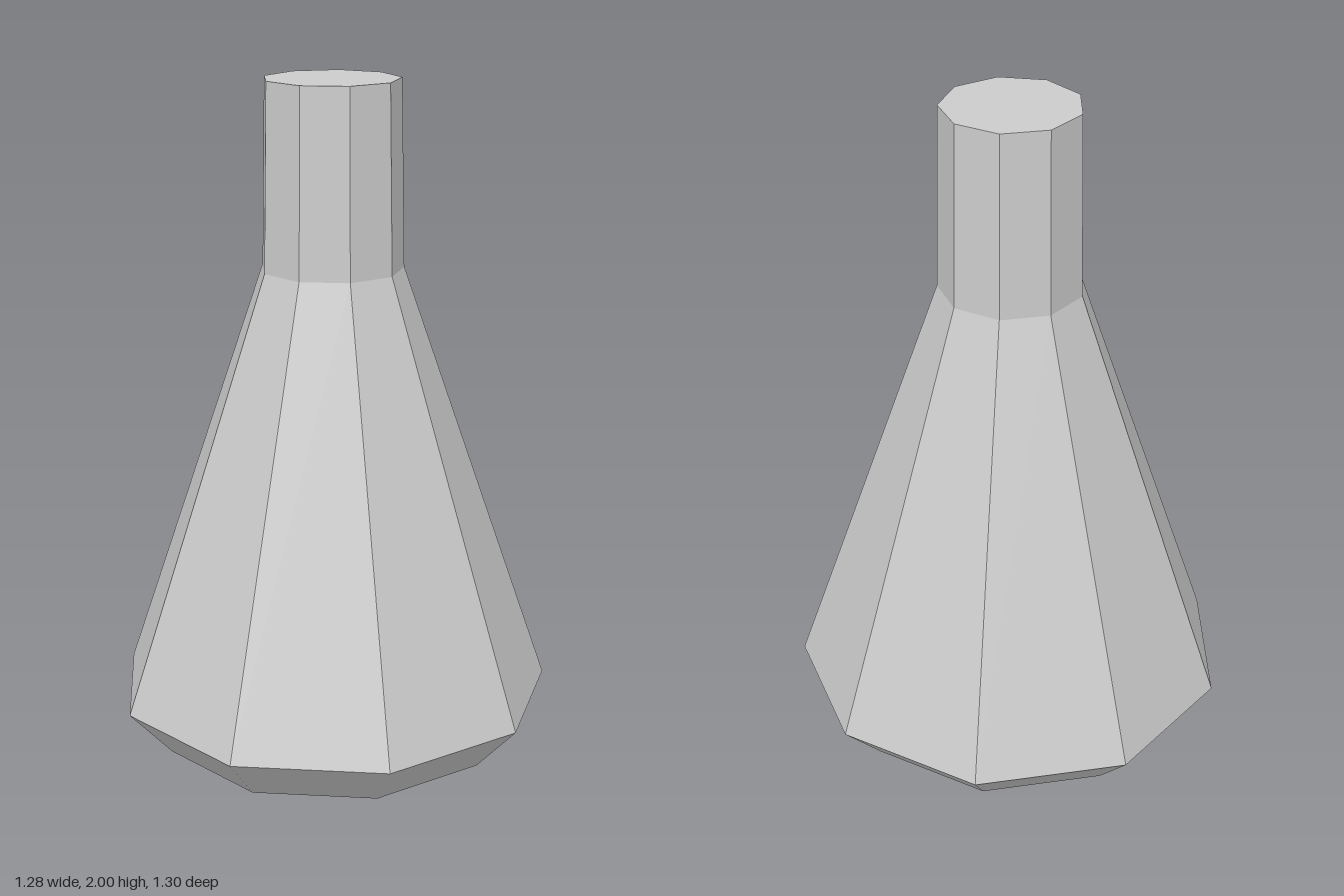
import * as THREE from 'three';

const SIDES = 9;

export function createModel() {
  const group = new THREE.Group();
  group.name = 'flask';
  const material = new THREE.MeshStandardMaterial({ color: 0xcccccc, flatShading: true });

  const addPart = (name, geometry, y) => {
    const mesh = new THREE.Mesh(geometry, material);
    mesh.name = name;
    mesh.position.set(-0.021, y, 0); // centres the nine-sided outline, one corner on +x
    group.add(mesh);
  };

  // Stacked tapering rings: [name, bottom radius, top radius, bottom y, top y]
  const rings = [
    ['base', 0.531, 0.662, 0, 0.145],
    ['body', 0.662, 0.2125, 0.145, 1.45],
    ['neck', 0.2125, 0.202, 1.45, 2],
  ];
  for (const [name, rBottom, rTop, y0, y1] of rings) {
    const ring = new THREE.CylinderGeometry(rTop, rBottom, y1 - y0, SIDES, 1, true);
    addPart(name, ring.rotateY(Math.PI / 2), (y0 + y1) / 2);
  }

  // Flat closing faces
  addPart('bottomFace', new THREE.CircleGeometry(0.531, SIDES).rotateX(Math.PI / 2), 0);
  addPart('topFace', new THREE.CircleGeometry(0.202, SIDES).rotateX(-Math.PI / 2), 2);

  return group;
}
